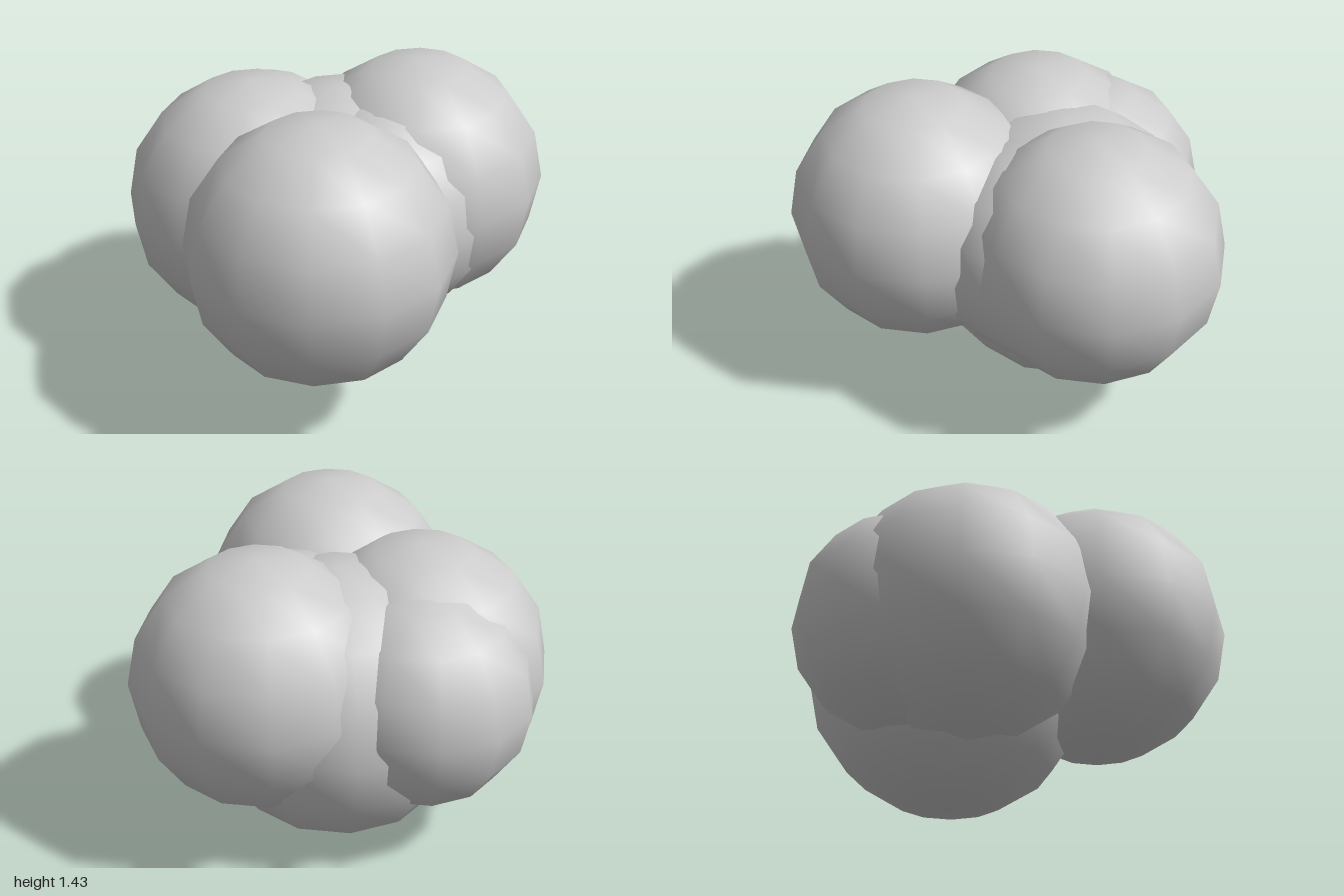
import * as THREE from 'three';

// Cluster of overlapping, smooth-shaded low-poly balls: name, radius, centre
const BALLS = [
  ['frontRightBall', 0.595, [-0.365, 0.84, 0.4]],
  ['leftBall', 0.59, [0.37, 0.823, -0.06]],
  ['lowerCoreBall', 0.65, [0.01, 0.655, -0.16]],
  ['backRightBall', 0.595, [-0.37, 0.77, -0.28]],
  ['backBall', 0.52, [-0.21, 0.74, -0.48]],
  ['frontFillerBall', 0.52, [0.13, 0.77, 0.05]],
];

export function createModel() {
  const group = new THREE.Group();
  group.name = 'ballCluster';
  const material = new THREE.MeshStandardMaterial({ color: 0xcccccc });
  for (const [name, radius, centre] of BALLS) {
    const ball = new THREE.Mesh(new THREE.SphereGeometry(radius, 12, 8), material);
    ball.name = name;
    ball.position.set(...centre);
    group.add(ball);
  }
  return group;
}
